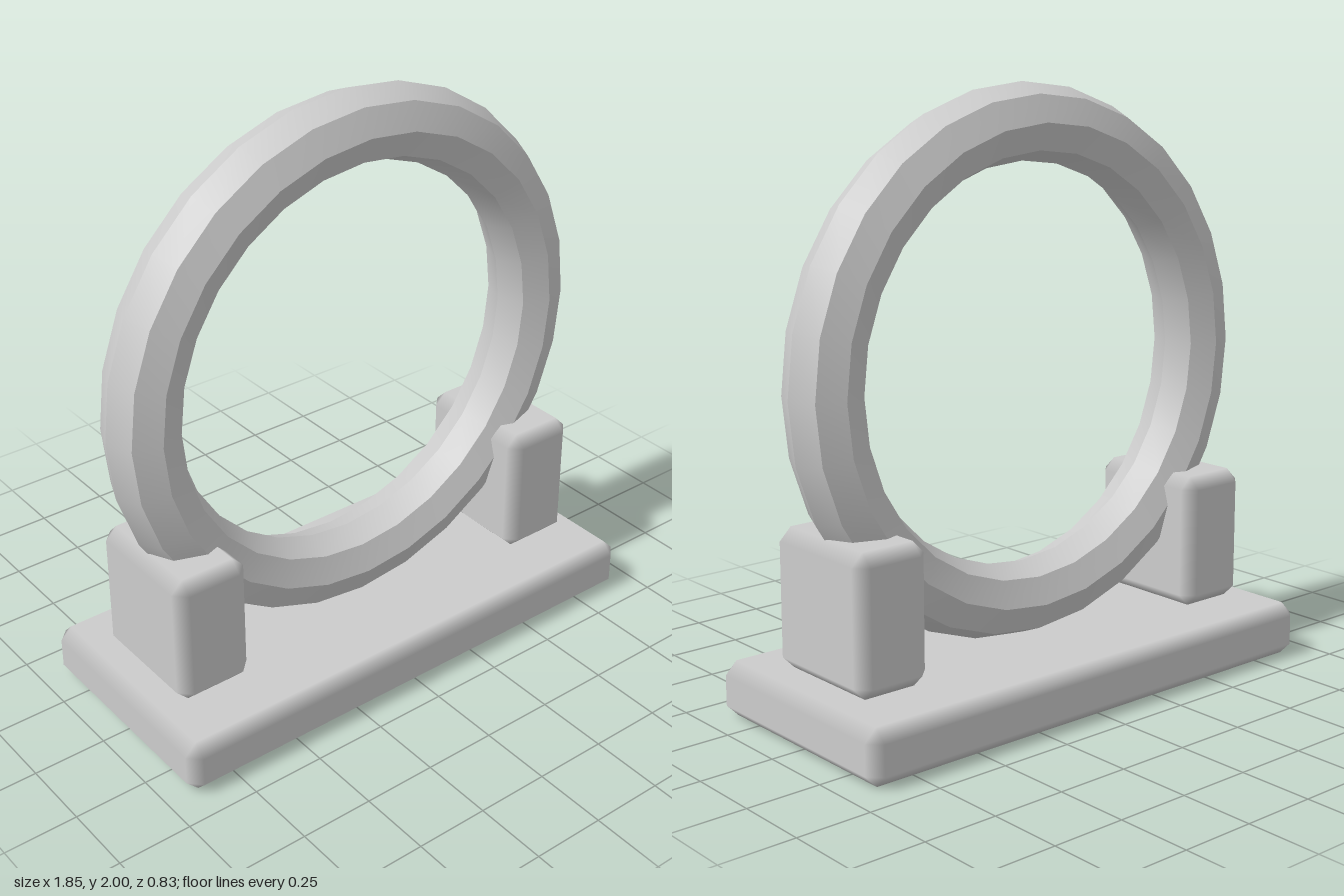
import * as THREE from 'three';
import { toCreasedNormals } from 'three/addons/utils/BufferGeometryUtils.js';

// Box with a single chamfer on every edge; flat faces stay flat, chamfers blend smoothly.
function chamferBox(w, h, d, bevel) {
  const half = [w / 2, h / 2, d / 2];
  const positions = [], normals = [], index = [];
  const signs = [-1, 1];
  const id = (s, axis) => ((s[0] > 0 ? 4 : 0) + (s[1] > 0 ? 2 : 0) + (s[2] > 0 ? 1 : 0)) * 3 + axis;

  // Three vertices per corner, one lying on each of the three faces
  for (const x of signs) for (const y of signs) for (const z of signs) {
    const s = [x, y, z];
    for (let axis = 0; axis < 3; axis++) {
      s.forEach((v, i) => positions.push(v * (half[i] - (i === axis ? 0 : bevel))));
      s.forEach((v, i) => normals.push(i === axis ? v : 0));
    }
  }

  // Adds a triangle, turned so that it faces away from the centre
  const point = (i) => new THREE.Vector3().fromArray(positions, i * 3);
  const tri = (a, b, c) => {
    const pa = point(a), n = point(b).sub(pa).cross(point(c).sub(pa));
    if (n.dot(pa) > 0) index.push(a, b, c);
    else index.push(a, c, b);
  };
  const quad = (a, b, c, e) => { tri(a, b, c); tri(a, c, e); };

  for (let a = 0; a < 3; a++) {
    const b = (a + 1) % 3, c = (a + 2) % 3;
    const at = (sa, sb, sc) => { const s = []; s[a] = sa; s[b] = sb; s[c] = sc; return s; };
    for (const p of signs) {
      // Main face across axis a
      quad(id(at(p, -1, -1), a), id(at(p, 1, -1), a), id(at(p, 1, 1), a), id(at(p, -1, 1), a));
      // Chamfers running along axis a
      for (const q of signs) {
        quad(id(at(-1, p, q), b), id(at(1, p, q), b), id(at(1, p, q), c), id(at(-1, p, q), c));
      }
    }
  }
  // Corner triangles
  for (let k = 0; k < 8; k++) tri(k * 3, k * 3 + 1, k * 3 + 2);

  const geometry = new THREE.BufferGeometry();
  geometry.setAttribute('position', new THREE.Float32BufferAttribute(positions, 3));
  geometry.setAttribute('normal', new THREE.Float32BufferAttribute(normals, 3));
  geometry.setIndex(index);
  return geometry;
}

export function createModel() {
  const group = new THREE.Group();
  group.name = 'ringOnStand';
  const grey = new THREE.MeshStandardMaterial({ color: 0xcccccc });
  grey.name = 'light grey';

  const add = (name, geometry, x, y, z) => {
    const mesh = new THREE.Mesh(geometry, grey);
    mesh.name = name;
    mesh.position.set(x, y, z);
    group.add(mesh);
  };

  // Base plate
  add('base', chamferBox(1.85, 0.185, 0.83, 0.042), 0, 0.0925, 0);

  // Support blocks gripping the ring on both sides
  const block = chamferBox(0.27, 0.46, 0.46, 0.042);
  add('leftSupport', block, 0.694, 0.42, 0);
  add('rightSupport', block, -0.694, 0.42, 0);

  // Upright ring with an octagonal section
  const ring = toCreasedNormals(new THREE.TorusGeometry(0.786, 0.125, 8, 28), Math.PI / 6);
  add('ring', ring, 0, 1.089, 0);

  return group;
}
